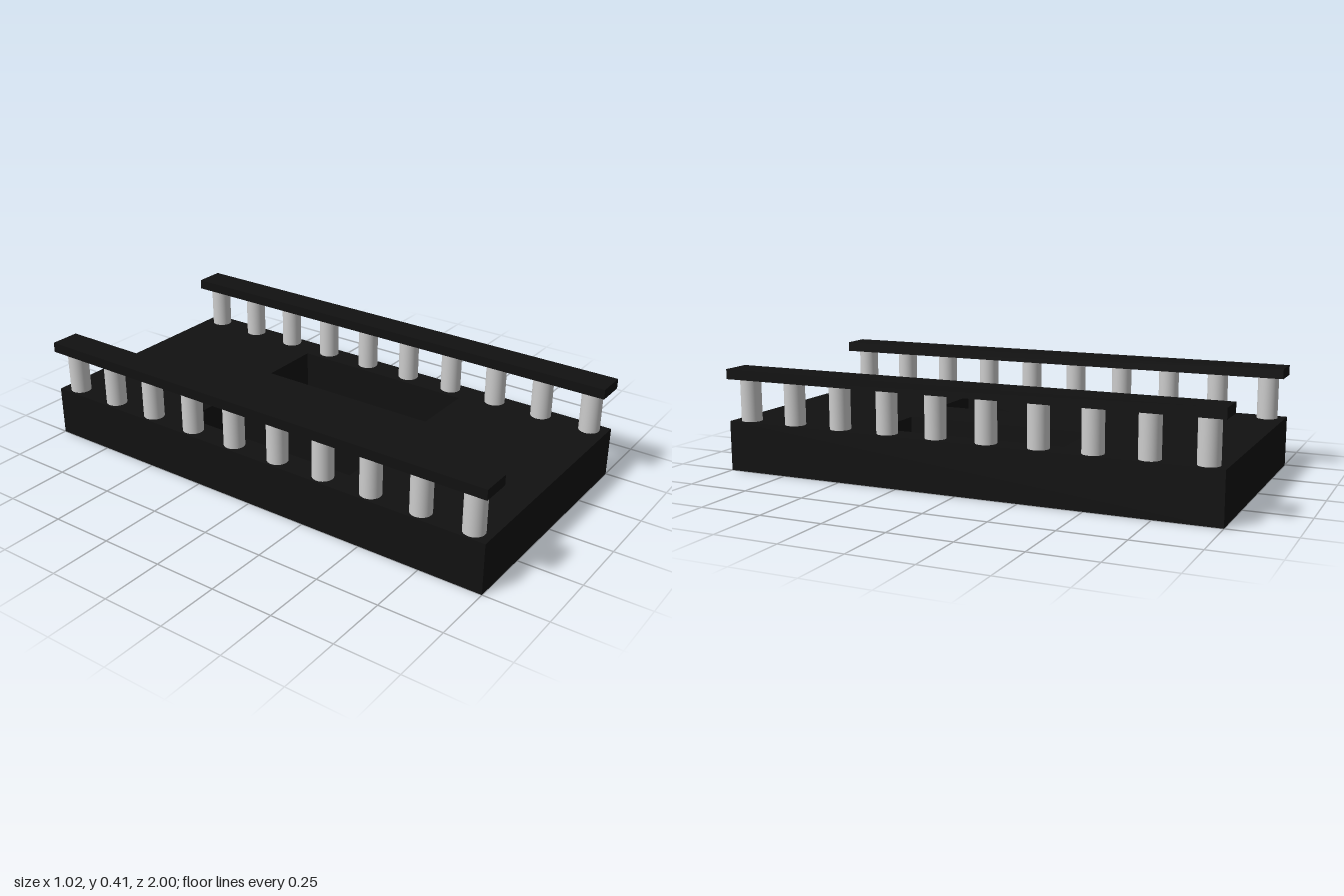
import * as THREE from 'three';

export function createModel() {
  const model = new THREE.Group();
  const black = new THREE.MeshStandardMaterial({ color: 0x111111 });
  black.name = 'black';
  const lightGrey = new THREE.MeshStandardMaterial({ color: 0xcccccc });
  lightGrey.name = 'lightGrey';

  const add = (name, geometry, material, x, y, z, parent = model) => {
    const mesh = new THREE.Mesh(geometry, material);
    mesh.name = name;
    mesh.position.set(x, y, z);
    parent.add(mesh);
    return mesh;
  };

  // Rectangle given by its limits, traced on a shape or a hole path
  const rectangle = (path, x0, x1, y0, y1) => {
    path.moveTo(x0, y0).lineTo(x1, y0).lineTo(x1, y1).lineTo(x0, y1).closePath();
    return path;
  };

  // Deck slab with two long openings going right through
  const outline = rectangle(new THREE.Shape(), -0.5, 0.5, -1, 1);
  outline.holes.push(
    rectangle(new THREE.Path(), -0.39, -0.13, -0.385, 0.385),
    rectangle(new THREE.Path(), 0.13, 0.39, -0.385, 0.385)
  );
  const deck = new THREE.ExtrudeGeometry(outline, { depth: 0.2, bevelEnabled: false });
  deck.rotateX(-Math.PI / 2);
  add('deck', deck, black, 0, 0, 0);

  // Balustrade on each side: ten round posts under a flat handrail
  const postGeometry = new THREE.CylinderGeometry(0.041, 0.041, 0.17, 32);
  const railGeometry = new THREE.BoxGeometry(0.12, 0.04, 2);
  const posts = 10;
  for (const side of [1, -1]) {
    const balustrade = new THREE.Group();
    balustrade.name = side > 0 ? 'leftBalustrade' : 'rightBalustrade';
    model.add(balustrade);
    add('handrail', railGeometry, black, side * 0.45, 0.39, 0, balustrade);
    for (let i = 0; i < posts; i++) {
      const z = -0.93 + (1.86 * i) / (posts - 1);
      add('post', postGeometry, lightGrey, side * 0.45, 0.285, z, balustrade);
    }
  }
  return model;
}
